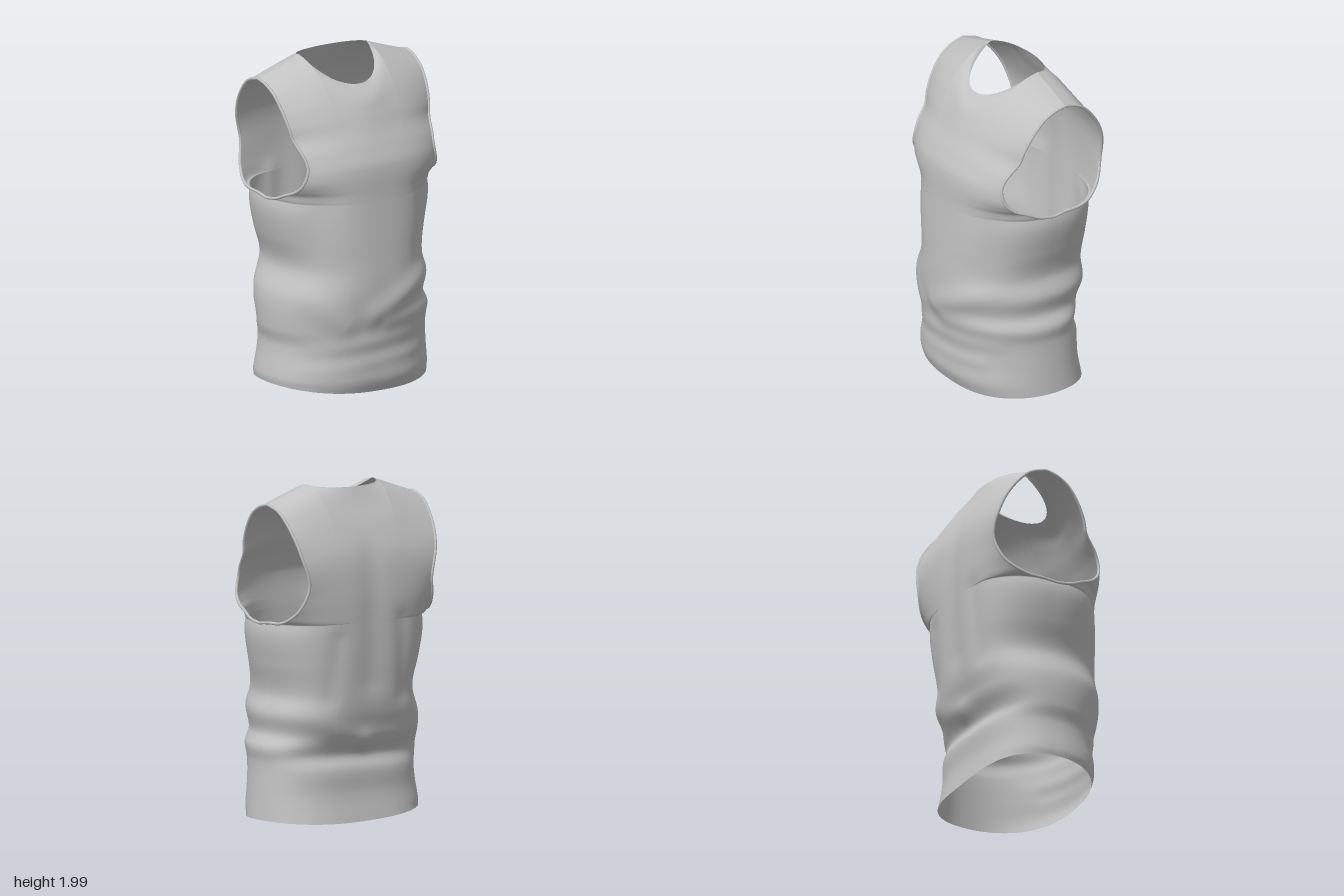
import * as THREE from 'three';
import { mergeVertices } from 'three/addons/utils/BufferGeometryUtils.js';

const ARM_Y = 1.19, TIP_Y = 1.9, SIDE_Z = -0.03, NECK_X = 0.24, TIP_X = 0.53, SHOULDER_Z = -0.11;
const { lerp, smoothstep, clamp } = THREE.MathUtils;

// Smooth interpolation through [position, value] pairs
function profile(pts) {
  const slope = pts.map((p, i) => {
    const a = pts[Math.max(i - 1, 0)], b = pts[Math.min(i + 1, pts.length - 1)];
    return (b[1] - a[1]) / (b[0] - a[0]);
  });
  return (y) => {
    if (y <= pts[0][0]) return pts[0][1];
    let i = 0;
    while (i < pts.length - 2 && y > pts[i + 1][0]) i++;
    const [y0, a] = pts[i], [y1, b] = pts[i + 1], h = y1 - y0;
    const t = Math.min((y - y0) / h, 1), t2 = t * t, t3 = t2 * t;
    return a * (2 * t3 - 3 * t2 + 1) + b * (3 * t2 - 2 * t3)
      + h * (slope[i] * (t3 - 2 * t2 + t) + slope[i + 1] * (t3 - t2));
  };
}

// Half widths: the two sides crumple differently up to the armholes
const upperWidth = [[1.1, 0.535], [1.19, 0.53], [1.29, 0.485], [1.42, 0.448], [1.5, 0.458], [1.6, 0.487], [1.75, 0.513], [1.9, 0.53]];
const widthLeft = profile([[0, 0.535], [0.2, 0.52], [0.36, 0.512], [0.45, 0.522], [0.53, 0.482], [0.65, 0.5], [0.77, 0.465], [0.95, 0.505], ...upperWidth]);
const widthRight = profile([[0.06, 0.535], [0.1, 0.54], [0.3, 0.51], [0.4, 0.53], [0.6, 0.525], [0.75, 0.465], [0.82, 0.465], [0.95, 0.505], ...upperWidth]);

// Front and back panels: centre line, armhole edge, neckline and cloth folds
const frontPanel = {
  sign: 1, p: 2.5, q: 0.5, neckDrop: 0.15, neckZ: 0.17, neckPow: 0.6,
  centre: profile([[0, 0.365], [0.09, 0.395], [0.2, 0.39], [0.36, 0.395], [0.62, 0.43], [0.9, 0.425], [1.19, 0.412], [1.4, 0.405], [1.5, 0.37], [1.6, 0.325], [1.7, 0.285], [1.78, 0.245], [1.85, 0.17]]),
  arm: [[SIDE_Z, 1.19], [0.06, 1.205], [0.14, 1.24], [0.22, 1.275], [0.275, 1.33], [0.29, 1.41], [0.26, 1.49], [0.19, 1.575], [0.165, 1.65], [0.12, 1.74], [0.05, 1.83], [-0.03, 1.88], [SHOULDER_Z, 1.9]],
  folds: [[-0.05, 0.5, 0.42, 0.72, 0.075, 0.022], [-0.46, 0.63, -0.25, 0.45, 0.08, 0.015], [0.05, 0.43, 0.45, 0.47, 0.06, 0.014],
    [-0.4, 0.3, 0.4, 0.36, 0.05, 0.01], [-0.45, 0.17, 0.3, 0.22, 0.045, 0.008], [0.42, 0.95, 0.4, 1.15, 0.11, -0.025], [-0.42, 0.95, -0.4, 1.15, 0.11, -0.025]],
};
const backPanel = {
  sign: -1, p: 3.2, q: 0.42, neckDrop: 0.02, neckZ: -0.24, neckPow: 0.42,
  centre: profile([[0, -0.385], [0.17, -0.352], [0.32, -0.35], [0.41, -0.325], [0.54, -0.37], [0.67, -0.41], [0.9, -0.432], [1.19, -0.446], [1.4, -0.446], [1.6, -0.422], [1.75, -0.36], [1.88, -0.29], [1.98, -0.24]]),
  arm: [[SIDE_Z, 1.19], [-0.12, 1.2], [-0.22, 1.205], [-0.3, 1.235], [-0.37, 1.3], [-0.41, 1.4], [-0.418, 1.5], [-0.4, 1.6], [-0.36, 1.7], [-0.29, 1.8], [-0.21, 1.87], [SHOULDER_Z, 1.9]],
  folds: [[0.5, 0.64, 0, 0.49, 0.07, 0.016], [0, 0.49, -0.46, 0.52, 0.07, 0.012], [0.4, 0.4, -0.4, 0.37, 0.05, -0.008],
    [0, 0.85, 0, 1.6, 0.09, -0.012], [-0.25, 0.75, -0.22, 1.2, 0.06, -0.01], [0.28, 0.75, 0.24, 1.1, 0.06, -0.01]],
};
for (const panel of [frontPanel, backPanel]) {
  panel.edge = new THREE.SplineCurve(panel.arm.map(([z, y]) => new THREE.Vector2(z, y)));
}

// Soft ridge or groove along a line segment
function foldDepth(panel, u, x, y) {
  let sum = 0;
  for (const [x0, y0, x1, y1, w, amp] of panel.folds) {
    const dx = x1 - x0, dy = y1 - y0;
    const t = clamp(((x - x0) * dx + (y - y0) * dy) / (dx * dx + dy * dy), 0, 1);
    const d = Math.hypot(x - x0 - t * dx, y - y0 - t * dy);
    sum += amp * Math.exp(-((d / w) ** 2));
  }
  return panel.sign * sum * (1 - u ** 6);
}

const widthAt = (u, y) => (u < 0 ? widthRight : widthLeft)(y);
const round = (v, p, q) => Math.max(0, 1 - Math.abs(v) ** p) ** q;

// Trunk below the armholes, s from hem (0) to underarm (1)
function trunkPoint(panel, u, s) {
  const hem = 0.01 + 0.03 * u * u - 0.02 * u;
  const y = lerp(hem, ARM_Y, s), x = u * widthAt(u, y);
  const z = SIDE_Z + (panel.centre(y) - SIDE_Z) * round(u, panel.p, panel.q);
  return [x, y, z + foldDepth(panel, u, x, y)];
}

// Yoke between the armholes, t from underarm (0) to shoulder and neckline (1)
function yokePoint(panel, u, t) {
  const edge = panel.edge.getPoint(t);
  const e = clamp((edge.y - ARM_Y) / (TIP_Y - ARM_Y), 0, 1), e4 = e ** 4;
  const x = u * widthAt(u, edge.y), topX = Math.abs(u) * TIP_X;

  // Neck scoop, sharp at the neckline and fading out below it
  const neck = Math.max(0, 1 - (topX / NECK_X) ** 2) ** lerp(2.5, panel.neckPow, e ** 6);
  const top = 2 - panel.neckDrop * neck - 0.1 * Math.max(0, topX - NECK_X) / (TIP_X - NECK_X);
  const soft = 1.96 - 0.06 * u * u;
  const y = ARM_Y + e * (soft - ARM_Y) + e4 * (top - soft);
  const yMid = ARM_Y + e * (1.96 - ARM_Y) + e4 * (2 - panel.neckDrop - 1.96);

  // Carry on the trunk's rounded section, cut off where it meets the armhole
  const pivot = lerp(SIDE_Z, SHOULDER_Z, smoothstep(e, 0, 1));
  const depth = panel.centre(yMid) - pivot;
  const q = lerp(panel.q, 0.9, smoothstep(e, 0.1, 0.8));
  const cut = clamp((edge.x - pivot) / depth, 0, 0.99);
  const reach = (1 - cut ** (1 / q)) ** (1 / panel.p);
  const bulge = round(u * reach, panel.p, q);
  const slip = edge.x - pivot - depth * cut;
  const z = pivot + slip * u ** 4 + depth * lerp(bulge, lerp(cut, 1, neck), e4);
  return [x, y, z + foldDepth(panel, u, x, y) * (1 - e4)];
}

// Columns gather at the neck corner and the side seam
function columns() {
  const half = [], c = NECK_X / TIP_X;
  for (let i = 1; i <= 16; i++) half.push(c * Math.sin((i / 16) * Math.PI / 2));
  for (let i = 1; i <= 22; i++) half.push(1 - (1 - c) * (1 - i / 22) ** 2);
  return [...half.map((u) => -u).reverse(), 0, ...half];
}

function shirtGeometry() {
  const us = columns(), trunkRows = 70, yokeRows = 96, positions = [], index = [];
  for (const panel of [frontPanel, backPanel]) {
    const base = positions.length / 3, w = us.length, rows = trunkRows + yokeRows;
    for (let j = 0; j <= rows; j++) {
      for (const u of us) {
        positions.push(...(j <= trunkRows ? trunkPoint(panel, u, j / trunkRows)
          : yokePoint(panel, u, (j - trunkRows) / yokeRows)));
      }
    }
    for (let j = 0; j < rows; j++) {
      for (let i = 0; i < w - 1; i++) {
        const a = base + j * w + i, b = a + 1, c = b + w, d = a + w;
        if (panel.sign > 0) index.push(a, b, c, a, c, d);
        else index.push(a, c, b, a, d, c);
      }
    }
  }
  const g = new THREE.BufferGeometry();
  g.setAttribute('position', new THREE.Float32BufferAttribute(positions, 3));
  g.setIndex(index);
  // Weld the side and shoulder seams so they shade smoothly
  const welded = mergeVertices(g, 1e-4);
  welded.computeVertexNormals();
  return welded;
}

// Narrow binding around one armhole
function armholeGeometry(side) {
  const pts = [], n = 30;
  for (let i = 0; i < n; i++) pts.push(new THREE.Vector3(...yokePoint(frontPanel, side, i / n)));
  for (let i = n; i > 0; i--) pts.push(new THREE.Vector3(...yokePoint(backPanel, side, i / n)));
  return new THREE.TubeGeometry(new THREE.CatmullRomCurve3(pts, true), 140, 0.009, 8, true);
}

export function createModel() {
  const cloth = new THREE.MeshStandardMaterial({ color: 0xc2c2c2, side: THREE.DoubleSide });
  cloth.name = 'greyCloth';
  const group = new THREE.Group();
  group.name = 'sleevelessShirt';
  const add = (name, geometry) => {
    const mesh = new THREE.Mesh(geometry, cloth);
    mesh.name = name;
    group.add(mesh);
  };
  add('shirtBody', shirtGeometry());
  add('leftArmholeBinding', armholeGeometry(1));
  add('rightArmholeBinding', armholeGeometry(-1));
  return group;
}
